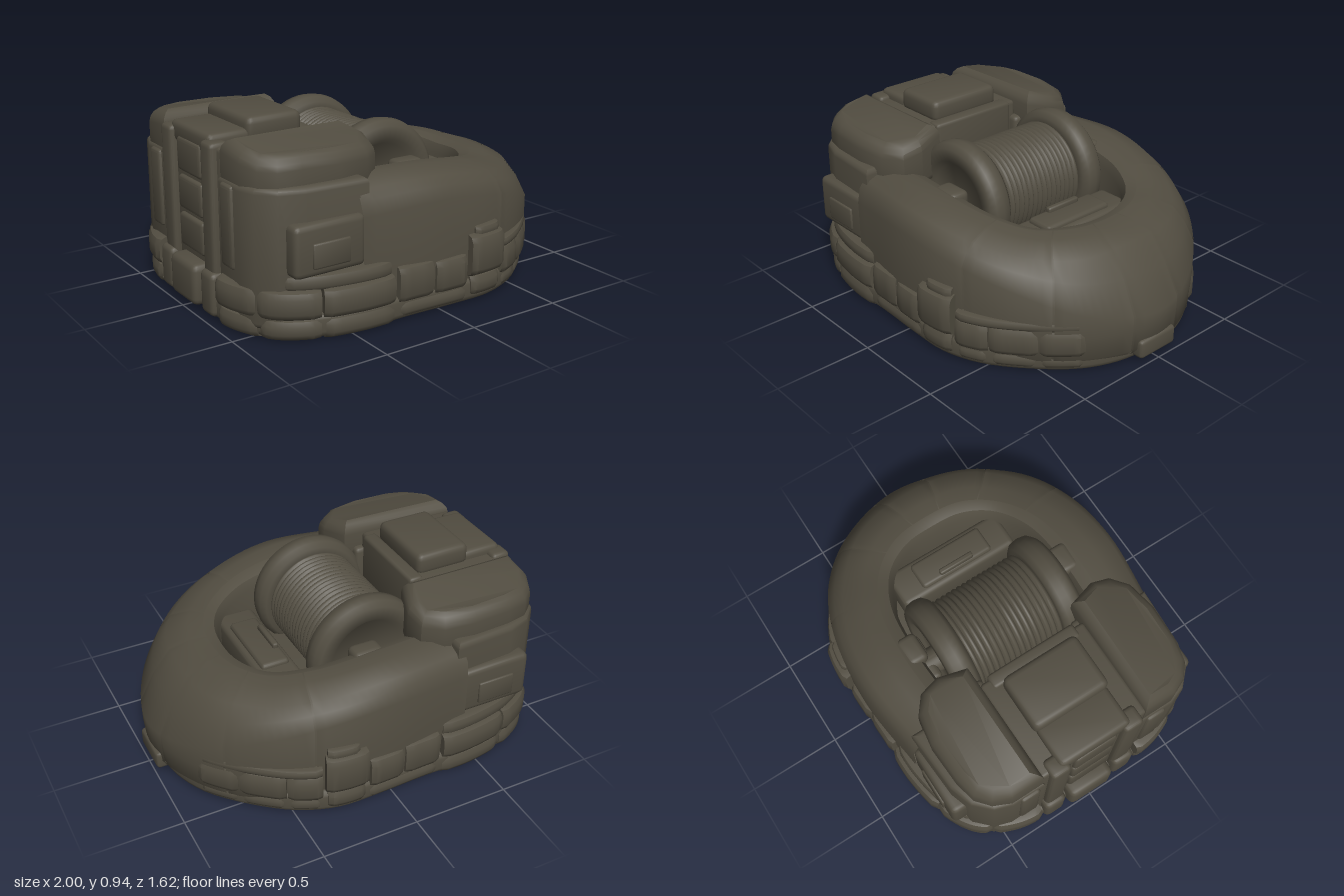
import * as THREE from 'three';
import { toCreasedNormals } from 'three/addons/utils/BufferGeometryUtils.js';
import { RoundedBoxGeometry } from 'three/addons/geometries/RoundedBoxGeometry.js';

const V = (x, y, z) => new THREE.Vector3(x, y, z);

export function createModel() {
  const model = new THREE.Group();
  const armor = new THREE.MeshStandardMaterial({ color: 0x524d41, side: THREE.DoubleSide });
  armor.name = 'dark olive armor';

  const add = (name, geo, crease = 0.6) => {
    const mesh = new THREE.Mesh(toCreasedNormals(geo, crease), armor);
    mesh.name = name;
    model.add(mesh);
    return mesh;
  };
  const box = (name, x0, x1, y0, y1, z0, z1, r = 0.02) => {
    const g = new RoundedBoxGeometry(x1 - x0, y1 - y0, z1 - z0, 2, r);
    g.translate((x0 + x1) / 2, (y0 + y1) / 2, (z0 + z1) / 2);
    return add(name, g);
  };
  // the same box on both sides, given for z > 0
  const boxPair = (name, x0, x1, y0, y1, z0, z1, r) => {
    box(name + 'Left', x0, x1, y0, y1, z0, z1, r);
    box(name + 'Right', x0, x1, y0, y1, -z1, -z0, r);
  };
  // skin over a row of cross-sections; closed sections get end caps
  const loft = (rings, closed) => {
    const n = rings[0].length, idx = [];
    for (let i = 0; i < rings.length - 1; i++)
      for (let j = 0; j < (closed ? n : n - 1); j++) {
        const a = i * n + j, b = i * n + (j + 1) % n;
        idx.push(a, b, a + n, b, b + n, a + n);
      }
    if (closed) for (let j = 1; j < n - 1; j++) {
      const e = (rings.length - 1) * n;
      idx.push(0, j + 1, j, e, e + j, e + j + 1);
    }
    const g = new THREE.BufferGeometry().setFromPoints(rings.flat());
    g.setIndex(idx);
    return g;
  };
  // bevelled upright prism from plan points [x, z]
  const prism = (pts, y0, y1, bevel) => {
    const shape = new THREE.Shape(pts.map(([x, z]) => new THREE.Vector2(x, -z)));
    const g = new THREE.ExtrudeGeometry(shape, {
      depth: y1 - y0 - 2 * bevel, bevelThickness: bevel, bevelSize: bevel,
      bevelOffset: -bevel, bevelSegments: 3,
    });
    return g.rotateX(-Math.PI / 2).translate(0, y0 + bevel, 0);
  };

  // Hull: U-shaped collar; each station runs mid wall, shoulder, crown, inner lip
  const half = [
    [[-0.43, 0.54, 0.72], [-0.43, 0.66, 0.67], [-0.43, 0.70, 0.57], [-0.43, 0.67, 0.43]],
    [[0.0, 0.56, 0.765], [0.0, 0.665, 0.71], [0.0, 0.70, 0.60], [0.0, 0.665, 0.45]],
    [[0.32, 0.52, 0.735], [0.31, 0.62, 0.66], [0.30, 0.655, 0.55], [0.27, 0.635, 0.42]],
    [[0.62, 0.44, 0.61], [0.57, 0.57, 0.52], [0.51, 0.61, 0.43], [0.45, 0.60, 0.32]],
    [[0.87, 0.32, 0.36], [0.75, 0.55, 0.31], [0.65, 0.60, 0.25], [0.54, 0.59, 0.17]],
    [[0.99, 0.26, 0], [0.80, 0.56, 0], [0.69, 0.595, 0], [0.56, 0.58, 0]],
  ];
  const stations = [...half, ...half.slice(0, 5).reverse().map(s => s.map(([x, y, z]) => [x, y, -z]))];
  const rails = [0, 1, 2, 3].map(k => new THREE.CatmullRomCurve3(stations.map(s => V(...s[k]))));
  const hullSection = (u) => {
    const [mid, shoulder, crown, lip] = rails.map(c => c.getPoint(u / 10));
    return [
      V(mid.x * 0.94, 0.02, mid.z * 0.94), V(mid.x * 0.99, 0.08, mid.z * 0.99), V(mid.x, 0.2, mid.z),
      mid, mid.clone().lerp(shoulder, 0.55).add(V(mid.x * 0.012, 0.006, mid.z * 0.012)),
      shoulder, crown, crown.clone().lerp(lip, 0.6).add(V(0, 0.012, 0)), lip,
      V(lip.x * 0.96, lip.y - 0.05, lip.z * 0.96), V(lip.x * 0.95, 0.3, lip.z * 0.95),
    ];
  };
  const hullPart = (name, u0, u1, scale, from = 0, to = 11) => {
    const n = Math.max(4, Math.ceil((u1 - u0) * 7)), rings = [];
    for (let i = 0; i <= n; i++)
      rings.push(hullSection(u0 + (u1 - u0) * i / n).slice(from, to)
        .map(p => V(p.x * scale, (p.y - 0.3) * scale + 0.3, p.z * scale)));
    add(name, loft(rings, false), 0.7);
  };
  hullPart('hull', 0, 10, 0.995);
  // plating with narrow seams between the panels
  const seams = [0, 2.25, 3.55, 4.6, 5.4, 6.45, 7.75, 10];
  for (let i = 0; i < 7; i++) hullPart('hullPlate', seams[i] + 0.015, seams[i + 1] - 0.015, 1.002, 0, 8);

  // Base outline, from the middle of the back to the nose
  const rim = [[-0.97, 0], [-0.985, 0.3], [-0.96, 0.45], [-0.86, 0.63], [-0.7, 0.73], [-0.45, 0.785],
    [-0.2, 0.785], [0.1, 0.795], [0.3, 0.79], [0.5, 0.72], [0.7, 0.57], [0.87, 0.38], [0.95, 0.2], [0.98, 0]];
  const rimCurve = new THREE.CatmullRomCurve3(rim.map(([x, z]) => V(x, 0, z)));
  const plan = rimCurve.getPoints(52).map(p => [p.x * 0.97, p.z * 0.97]);
  add('basePlate', prism([...plan, ...plan.slice(1, -1).reverse().map(([x, z]) => [x, -z])].reverse(), 0.01, 0.13, 0.03));

  // Skirt: rounded blocks following the base outline, mirrored
  const skirt = (name, i0, i1, y0, y1, out) => {
    const r = Math.min(0.04, (y1 - y0) / 3);
    const profile = [[-0.15, y0], [out - r, y0], [out - r * 0.3, y0 + r * 0.4], [out, y0 + r],
      [out, y1 - r], [out - r * 0.3, y1 - r * 0.3], [out - r, y1], [-0.15, y1]];
    for (const side of [1, -1]) {
      const rings = [], n = Math.ceil((i1 - i0) * 5) + 2;
      for (let i = 0; i <= n; i++) {
        const t = (i0 + (i1 - i0) * i / n) / 13, p = rimCurve.getPoint(t), d = rimCurve.getTangent(t);
        const inset = i === 0 || i === n ? 0.012 : 0;
        rings.push(profile.map(([o, y]) => V(p.x - d.z * (o - inset), y, (p.z + d.x * (o - inset)) * side)));
      }
      add(name + (side > 0 ? 'Left' : 'Right'), loft(rings, true));
    }
  };
  [[1.0, 2.55], [2.6, 4.15], [4.2, 5.68]].forEach(([a, b]) => {
    skirt('rearSkirt', a, b, 0.10, 0.25, 0);
    skirt('rearSkirtFoot', a + 0.04, b, 0.0, 0.11, -0.012);
  });
  skirt('rearSkirtLedge', 3.2, 5.66, 0.23, 0.315, -0.03);
  skirt('middleSkirt', 5.78, 6.45, 0.09, 0.28, -0.002);
  skirt('middleSkirt', 6.5, 7.15, 0.09, 0.27, 0);
  skirt('middleSkirtFoot', 5.78, 7.2, 0.02, 0.1, -0.015);
  skirt('sideBracket', 7.25, 8.35, 0.14, 0.355, 0.015);
  skirt('sideBracketCap', 7.45, 8.3, 0.33, 0.39, -0.015);
  skirt('sideBracketFoot', 7.3, 8.3, 0.03, 0.15, -0.005);
  [[8.42, 9.2], [9.23, 10.15], [10.18, 11.05]].forEach(([a, b]) => {
    skirt('frontSkirt', a, b, 0.09, 0.25, 0);
    skirt('frontSkirtFoot', a, b, 0.025, 0.1, -0.02);
  });
  skirt('frontSkirtRail', 8.42, 11.05, 0.235, 0.285, -0.008);
  box('noseBumper', 0.9, 0.995, 0.03, 0.13, -0.12, 0.12);

  // Rear towers, with tops that fall away outwards
  const lower = [[-0.93, 0.28], [-0.93, 0.46], [-0.9, 0.55], [-0.82, 0.63], [-0.7, 0.67], [-0.38, 0.69], [-0.38, 0.28]];
  const upper = [[-0.92, 0.29], [-0.92, 0.46], [-0.88, 0.55], [-0.81, 0.61], [-0.7, 0.635], [-0.5, 0.645],
    [-0.34, 0.62], [-0.25, 0.55], [-0.23, 0.45], [-0.28, 0.30]];
  for (const side of [1, -1]) {
    const place = (name, pts, y0, y1, bevel) => {
      const list = pts.map(([x, z]) => [x, z * side]);
      const g = prism(side > 0 ? list : list.reverse(), y0, y1, bevel), p = g.attributes.position;
      for (let i = 0; i < p.count; i++)
        if (p.getY(i) > 0.75) p.setY(i, p.getY(i) - 0.35 * Math.max(0, Math.abs(p.getZ(i)) - 0.4)
          - 0.25 * Math.max(0, -0.75 - p.getX(i)) - 0.3 * Math.max(0, p.getX(i) + 0.4));
      add(name + (side > 0 ? 'Left' : 'Right'), g);
    };
    place('towerBody', lower, 0.05, 0.72, 0.03);
    place('towerTop', upper, 0.6, 0.925, 0.05);
  }
  boxPair('towerSidePanel', -0.79, -0.41, 0.31, 0.56, 0.6, 0.715, 0.03);
  boxPair('towerSideInset', -0.7, -0.5, 0.35, 0.47, 0.64, 0.725, 0.008);

  // Rear centre: block, cap, pillars and panels
  box('rearCore', -0.92, -0.38, 0.05, 0.84, -0.3, 0.3);
  box('rearCap', -0.73, -0.43, 0.82, 0.94, -0.21, 0.21, 0.035);
  box('rearTopStep', -0.93, -0.7, 0.78, 0.885, -0.2, 0.2, 0.03);
  box('winchBackrest', -0.44, -0.36, 0.5, 0.85, -0.25, 0.25);
  boxPair('rearPillar', -0.955, -0.85, 0.05, 0.86, 0.15, 0.26, 0.025);
  boxPair('rearPillarFoot', -0.98, -0.85, 0.02, 0.24, 0.15, 0.275, 0.03);
  for (let i = 0; i < 3; i++)
    box('rearPanel', -0.94, -0.86, 0.27 + i * 0.19, 0.44 + i * 0.19, -0.12, 0.12);
  box('rearStep', -1, -0.85, 0.03, 0.24, -0.13, 0.13, 0.035);
  boxPair('rearVent', -0.945, -0.88, 0.3, 0.7, 0.31, 0.42, 0.02);

  // Well floor and fittings around the winch
  box('wellFloor', -0.5, 0.58, 0.28, 0.36, -0.44, 0.44);
  box('wellFrontConsole', 0.26, 0.47, 0.33, 0.53, -0.34, 0.34, 0.03);
  box('consoleLid', 0.29, 0.44, 0.5, 0.555, -0.21, 0.21);
  box('consoleHandle', 0.3, 0.33, 0.54, 0.58, -0.1, 0.1, 0.01);
  boxPair('axleMount', -0.18, 0.08, 0.36, 0.62, 0.385, 0.45, 0.025);
  boxPair('axleMountCap', -0.08, 0.08, 0.58, 0.69, 0.4, 0.51, 0.03);
  boxPair('winchSideBlock', -0.42, -0.33, 0.4, 0.76, 0.26, 0.42, 0.025);

  // Winch: rope coil, rims and axle, turning about z
  const lathe = (name, pts, z) => {
    const g = new THREE.LatheGeometry(pts.map(([r, y]) => new THREE.Vector2(r, y)), 48);
    add(name, g.rotateX(Math.PI / 2).translate(-0.07, 0.56, z), 0.9);
  };
  const coil = [];
  for (let i = 0; i <= 96; i++)
    coil.push([0.243 + 0.014 * Math.abs(Math.sin(i * Math.PI / 6)), -0.25 + i * 0.5 / 96]);
  lathe('ropeCoil', coil, 0);
  const rimProfile = [[0, -0.035], [0.19, -0.035], [0.215, -0.065], [0.28, -0.065], [0.305, -0.04], [0.312, 0],
    [0.305, 0.04], [0.28, 0.065], [0.215, 0.065], [0.19, 0.035], [0, 0.035]];
  for (const z of [0.315, -0.315]) lathe('drumRim', rimProfile, z);
  lathe('axle', [[0, -0.43], [0.07, -0.43], [0.07, 0.43], [0, 0.43]], 0);

  return model;
}
